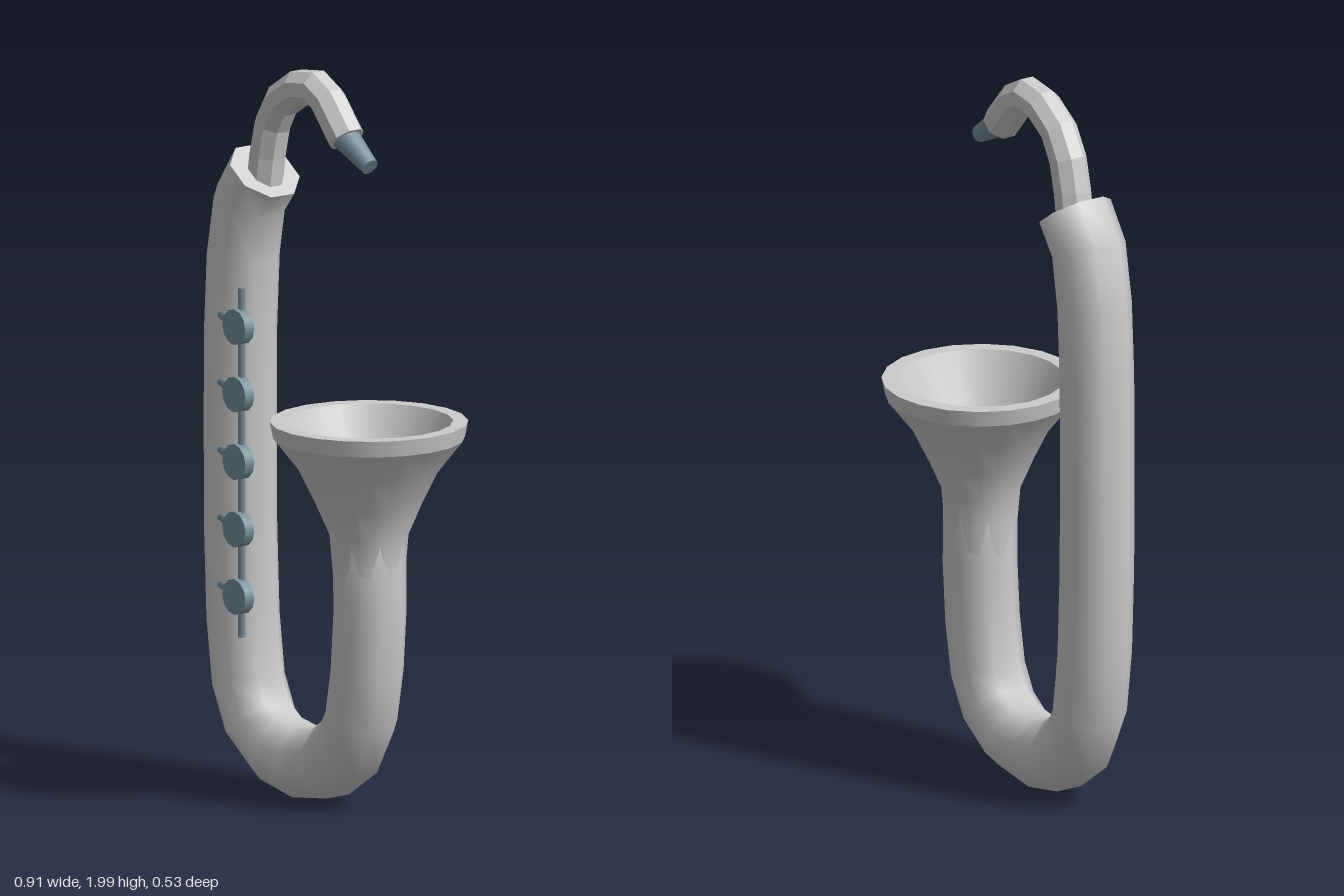
import * as THREE from 'three';

const grey = new THREE.MeshStandardMaterial({ color: 0xcccccc });
const greyFlat = new THREE.MeshStandardMaterial({ color: 0xcccccc, flatShading: true });
const steel = new THREE.MeshStandardMaterial({ color: 0x78909c });

function add(parent, name, geometry, material) {
  const mesh = new THREE.Mesh(geometry, material);
  mesh.name = name;
  parent.add(mesh);
  return mesh;
}

// Capped octagonal pipe along a path in the xy plane, flats facing front and back
function pipe(path, radius, sides = 8) {
  const pts = path.map(([x, y]) => new THREE.Vector2(x, y));
  const pos = [], index = [];
  const ring = (i) => {
    const t = pts[Math.min(i + 1, pts.length - 1)].clone().sub(pts[Math.max(i - 1, 0)]).normalize();
    for (let j = 0; j < sides; j++) {
      const a = ((j + 0.5) / sides) * Math.PI * 2;
      const s = Math.cos(a) * radius;
      pos.push(pts[i].x - t.y * s, pts[i].y + t.x * s, Math.sin(a) * radius);
    }
  };
  pts.forEach((p, i) => ring(i));
  for (let i = 0; i < pts.length - 1; i++) {
    for (let j = 0; j < sides; j++) {
      const a = i * sides + j, b = i * sides + ((j + 1) % sides);
      index.push(a, b, a + sides, b, b + sides, a + sides);
    }
  }
  // End caps with their own vertices, so their edges stay sharp
  for (const end of [0, pts.length - 1]) {
    const base = pos.length / 3;
    ring(end);
    for (let j = 1; j < sides - 1; j++) {
      if (end) index.push(base, base + j, base + j + 1);
      else index.push(base, base + j + 1, base + j);
    }
  }
  const g = new THREE.BufferGeometry();
  g.setAttribute('position', new THREE.Float32BufferAttribute(pos, 3));
  g.setIndex(index);
  g.computeVertexNormals();
  return g;
}

// Cylinder between two points
function rod(parent, name, from, to, r0, r1, sides) {
  const a = new THREE.Vector3(...from), b = new THREE.Vector3(...to);
  const dir = b.clone().sub(a);
  const mesh = add(parent, name, new THREE.CylinderGeometry(r1, r0, dir.length(), sides), steel);
  mesh.position.copy(a).add(b).multiplyScalar(0.5);
  mesh.quaternion.setFromUnitVectors(new THREE.Vector3(0, 1, 0), dir.normalize());
  return mesh;
}

export function createModel() {
  const model = new THREE.Group();
  model.name = 'saxophone';

  // J-shaped main tube
  add(model, 'bodyTube', pipe([
    [-0.255, 1.69], [-0.32, 1.6], [-0.347, 1.45], [-0.358, 1.25], [-0.36, 1.0], [-0.358, 0.7],
    [-0.348, 0.46], [-0.325, 0.29], [-0.275, 0.185], [-0.19, 0.122], [-0.09, 0.103], [0.02, 0.118],
    [0.105, 0.175], [0.155, 0.265], [0.18, 0.4], [0.192, 0.56], [0.19, 0.76],
  ], 0.102), grey);

  // Curved neck
  add(model, 'neck', pipe([
    [-0.255, 1.66], [-0.243, 1.74], [-0.222, 1.825], [-0.18, 1.895], [-0.105, 1.943],
    [-0.035, 1.953], [0.015, 1.925], [0.06, 1.873], [0.093, 1.835],
  ], 0.051), greyFlat);

  // Mouthpiece
  rod(model, 'mouthpiece', [0.075, 1.847, 0], [0.192, 1.775, 0], 0.04, 0.024, 16);

  // Flared bell: outer wall, rim edge, rim top, inner wall and floor
  const bell = new THREE.Group();
  bell.name = 'bell';
  bell.position.x = 0.188;
  model.add(bell);
  const profiles = {
    bellOuter: [[0.092, 0.6], [0.099, 0.69], [0.106, 0.77], [0.143, 0.855], [0.19, 0.95], [0.257, 1.035]],
    bellEdge: [[0.257, 1.035], [0.266, 1.08]],
    bellRim: [[0.266, 1.08], [0.225, 1.08]],
    bellInner: [[0.225, 1.08], [0.17, 0.96], [0.125, 0.87], [0.093, 0.8], [0.076, 0.765]],
    bellFloor: [[0.076, 0.765], [0, 0.765]],
  };
  for (const [name, pts] of Object.entries(profiles)) {
    add(bell, name, new THREE.LatheGeometry(pts.map(([r, y]) => new THREE.Vector2(r, y)), 20), grey);
  }

  // Key rod with five keys on slanted arms
  const keys = new THREE.Group();
  keys.name = 'keys';
  model.add(keys);
  rod(keys, 'keyRod', [-0.183, 0.445, 0.137], [-0.183, 1.4, 0.137], 0.01, 0.01, 8);
  for (let i = 0; i < 5; i++) {
    const y = 0.557 + i * 0.1845;
    rod(keys, 'keyArm', [-0.36, y, 0.072], [-0.19, y, 0.14], 0.014, 0.014, 8);
    rod(keys, 'keyPad', [-0.188, y, 0.13], [-0.188, y, 0.161], 0.049, 0.049, 12);
  }
  return model;
}
